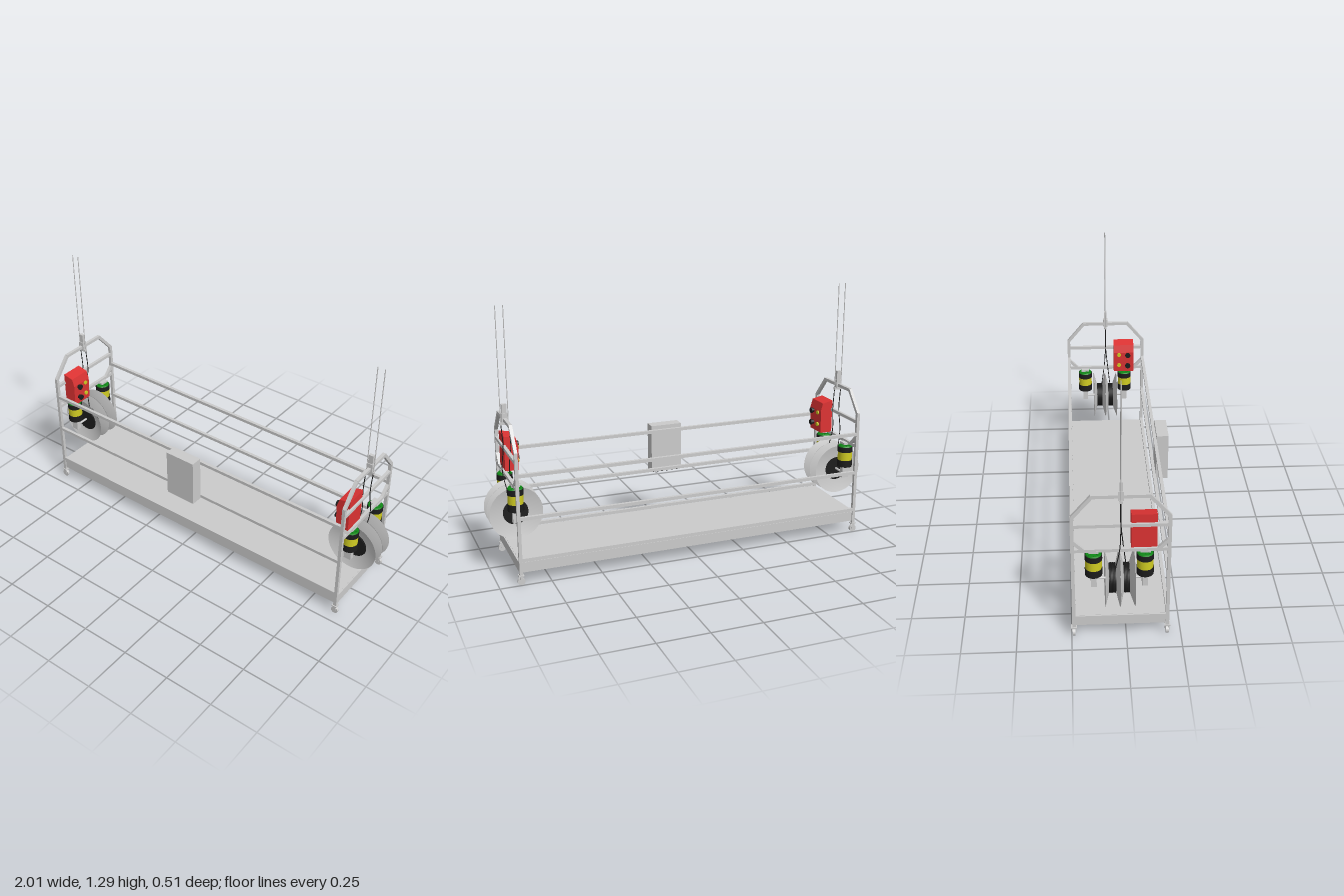
import * as THREE from 'three';

const mat = (color, side = THREE.FrontSide) => new THREE.MeshStandardMaterial({ color, side });
const GREY = mat(0xcccccc), GREY2 = mat(0xcccccc, THREE.DoubleSide);
const RED = mat(0xdd3333), BLACK = mat(0x1c1c1c), YELLOW = mat(0xd0cc22), GREEN = mat(0x118a18);
const ZF = 0.188, ZB = -0.239, ZC = -0.026, XE = 0.895, T = 0.016;

function add(group, name, geometry, material, x = 0, y = 0, z = 0) {
  const mesh = new THREE.Mesh(geometry, material);
  mesh.name = name;
  mesh.position.set(x, y, z);
  group.add(mesh);
  return mesh;
}

const box = (g, name, m, w, h, d, x, y, z) => add(g, name, new THREE.BoxGeometry(w, h, d), m, x, y, z);
const cyl = (g, name, m, r, h, x, y, z, n = 24, r2 = r) =>
  add(g, name, new THREE.CylinderGeometry(r, r2, h, n), m, x, y, z);

// Square tube between two points
function beam(g, name, a, b, t = T) {
  const p = new THREE.Vector3(...a), q = new THREE.Vector3(...b);
  const mesh = box(g, name, GREY, t, t, p.distanceTo(q) + t * 0.4, 0, 0, 0);
  mesh.position.copy(p).add(q).multiplyScalar(0.5);
  mesh.lookAt(q);
  return mesh;
}

function cable(g, name, m, r, points) {
  const curve = new THREE.CatmullRomCurve3(points.map(p => new THREE.Vector3(...p)));
  add(g, name, new THREE.TubeGeometry(curve, 24, r, 6), m);
}

function platform() {
  const g = new THREE.Group();
  g.name = 'platform';
  box(g, 'deck', GREY, 1.79, 0.008, 0.425, 0, 0.108, ZC);
  for (const z of [ZF, ZB]) {
    const inward = z > 0 ? -1 : 1;
    box(g, 'sideBeam', GREY, 1.78, 0.05, 0.012, 0, 0.086, z + inward * 0.004);
    box(g, 'sideBeamFlange', GREY, 1.78, 0.006, 0.035, 0, 0.064, z + inward * 0.02);
    for (const y of [0.124, 0.33, 0.54]) box(g, 'rail', GREY, 1.78, T, T, 0, y, z);
  }
  for (const x of [-XE, XE]) box(g, 'endBeam', GREY, 0.014, 0.05, 0.42, x, 0.086, ZC);
  for (const x of [-0.87, 0.87]) box(g, 'endBeamFlange', GREY, 0.035, 0.006, 0.41, x, 0.064, ZC);
  for (const x of [-0.445, 0, 0.445]) box(g, 'crossBeam', GREY, 0.04, 0.044, 0.41, x, 0.083, ZC);
  return g;
}

function controlCabinet() {
  const g = new THREE.Group();
  g.name = 'controlCabinet';
  box(g, 'cabinet', GREY, 0.165, 0.25, 0.06, -0.003, 0.443, 0.226);
  for (let i = 0; i < 6; i++) cyl(g, 'cableGland', BLACK, 0.007, 0.014, -0.07 + i * 0.027, 0.312, 0.226, 10);
  return g;
}

function endFrame(s) {
  const g = new THREE.Group();
  g.name = 'endFrame';
  const x = s * XE;
  const outline = [[0.05, ZF], [0.65, ZF], [0.755, 0.1], [0.755, -0.152], [0.65, ZB], [0.05, ZB]];
  for (let i = 0; i < 5; i++) {
    const [y1, z1] = outline[i], [y2, z2] = outline[i + 1];
    beam(g, 'frameTube', [x, y1, z1], [x, y2, z2]);
  }
  for (const y of [0.605, 0.475]) beam(g, 'crossTube', [x, y, ZF], [x, y, ZB]);
  for (const [z, d] of [[ZF, -1], [ZB, 1]]) {
    beam(g, 'cornerBrace', [x, 0.525, z], [x, 0.475, z + d * 0.05]);
    // Caster: mounting plate, fork and wheel
    box(g, 'casterPlate', GREY, 0.026, 0.005, 0.026, x, 0.047, z);
    for (const dz of [-0.009, 0.009]) box(g, 'casterFork', GREY, 0.014, 0.03, 0.003, x, 0.033, z + dz);
    cyl(g, 'casterWheel', GREY, 0.018, 0.013, x, 0.018, z).rotation.x = Math.PI / 2;
  }
  return g;
}

function hoist(s) {
  const g = new THREE.Group();
  g.name = 'hoist';
  const x = s * 0.873, y = 0.305, mx = s * 0.885;

  // Twin drum: thin flared flanges around two wound cores
  for (const [rim, hub] of [[0.036, 0.013], [-0.029, -0.013], [-0.031, -0.047], [-0.096, -0.079]]) {
    const pts = [[0.006, hub], [0.065, hub], [0.13, rim]].map(([r, z]) => new THREE.Vector2(r, z));
    add(g, 'drumFlange', new THREE.LatheGeometry(pts, 48), GREY2, x, y, 0).rotation.x = Math.PI / 2;
  }
  for (const z of [0, -0.063]) {
    cyl(g, 'drumCore', BLACK, 0.062, 0.033, x, y, z, 32).rotation.x = Math.PI / 2;
    for (let i = -2; i <= 2; i++) add(g, 'woundCable', new THREE.TorusGeometry(0.065, 0.0035, 6, 32), BLACK, x, y, z + i * 0.006);
  }
  cyl(g, 'driveShaft', GREY, 0.006, 0.23, x, y, -0.03, 12).rotation.x = Math.PI / 2;

  // Motors above their gearboxes
  for (const z of [0.083, -0.146]) {
    const m = new THREE.Group();
    m.name = 'motor';
    cyl(m, 'motorBase', BLACK, 0.039, 0.036, mx, 0.358, z);
    cyl(m, 'motorBody', YELLOW, 0.037, 0.046, mx, 0.399, z);
    cyl(m, 'motorCap', BLACK, 0.039, 0.028, mx, 0.435, z);
    cyl(m, 'fanCover', GREEN, 0.034, 0.006, mx, 0.452, z, 16, 0.037);
    for (let i = 0; i < 4; i++) {
      box(m, 'fanFin', GREEN, 0.062, 0.004, 0.004, mx, 0.456, z).rotation.y = i * Math.PI / 4;
    }
    box(m, 'gearbox', GREY, 0.036, 0.054, 0.026, mx, 0.305, z);
    cyl(m, 'gearboxNeck', GREY, 0.011, 0.016, mx, 0.336, z, 12);
    box(m, 'motorBracket', GREY, 0.04, 0.01, 0.045, mx, 0.467, z);
    g.add(m);
  }
  return g;
}

function controlBox(s) {
  const g = new THREE.Group();
  g.name = 'controlBox';
  const shape = new THREE.Shape(
    [[0.893, 0.48], [0.829, 0.48], [0.824, 0.6], [0.836, 0.643], [0.893, 0.655]].map(([x, y]) => new THREE.Vector2(s * x, y)));
  add(g, 'housing', new THREE.ExtrudeGeometry(shape, { depth: 0.114, bevelEnabled: false }), RED, 0, 0, 0.02);
  for (const y of [0.588, 0.522]) {
    for (const [z, m] of [[0.1, BLACK], [0.05, YELLOW]]) {
      const len = m === BLACK ? 0.02 : 0.008;
      cyl(g, 'button', m, 0.011, len, s * (0.826 - len / 2), y, z, 16).rotation.z = Math.PI / 2;
    }
    const knob = cyl(g, 'buttonHead', BLACK, 0.015, 0.007, s * 0.811, y, 0.1, 16);
    knob.rotation.z = Math.PI / 2;
  }
  return g;
}

function suspension(s) {
  const g = new THREE.Group();
  g.name = 'suspension';
  const x = s * XE;
  box(g, 'hangerBlock', GREY, 0.024, 0.06, 0.016, x, 0.8, ZC);
  box(g, 'hangerPlate', GREY, 0.03, 0.045, 0.024, x, 0.762, ZC);
  box(g, 'cableGuide', GREY, 0.045, 0.012, 0.014, x, 0.735, ZC);
  for (const [dx, drumZ] of [[-0.019, 0], [0.018, -0.05]]) {
    const cx = x + s * dx;
    cyl(g, 'liftCable', GREY, 0.0022, 0.56, cx, 1.015, ZC, 6);
    cable(g, 'drumCable', BLACK, 0.0022,
      [[cx, 0.74, ZC], [cx - s * 0.006, 0.62, ZC], [cx + s * 0.004, 0.5, ZC * 0.6 + drumZ * 0.3], [s * 0.873 + s * dx, 0.36, drumZ]]);
  }
  return g;
}

export function createModel() {
  const model = new THREE.Group();
  model.name = 'suspendedPlatform';
  model.add(platform(), controlCabinet());
  for (const s of [-1, 1]) model.add(endFrame(s), hoist(s), controlBox(s), suspension(s));
  return model;
}
